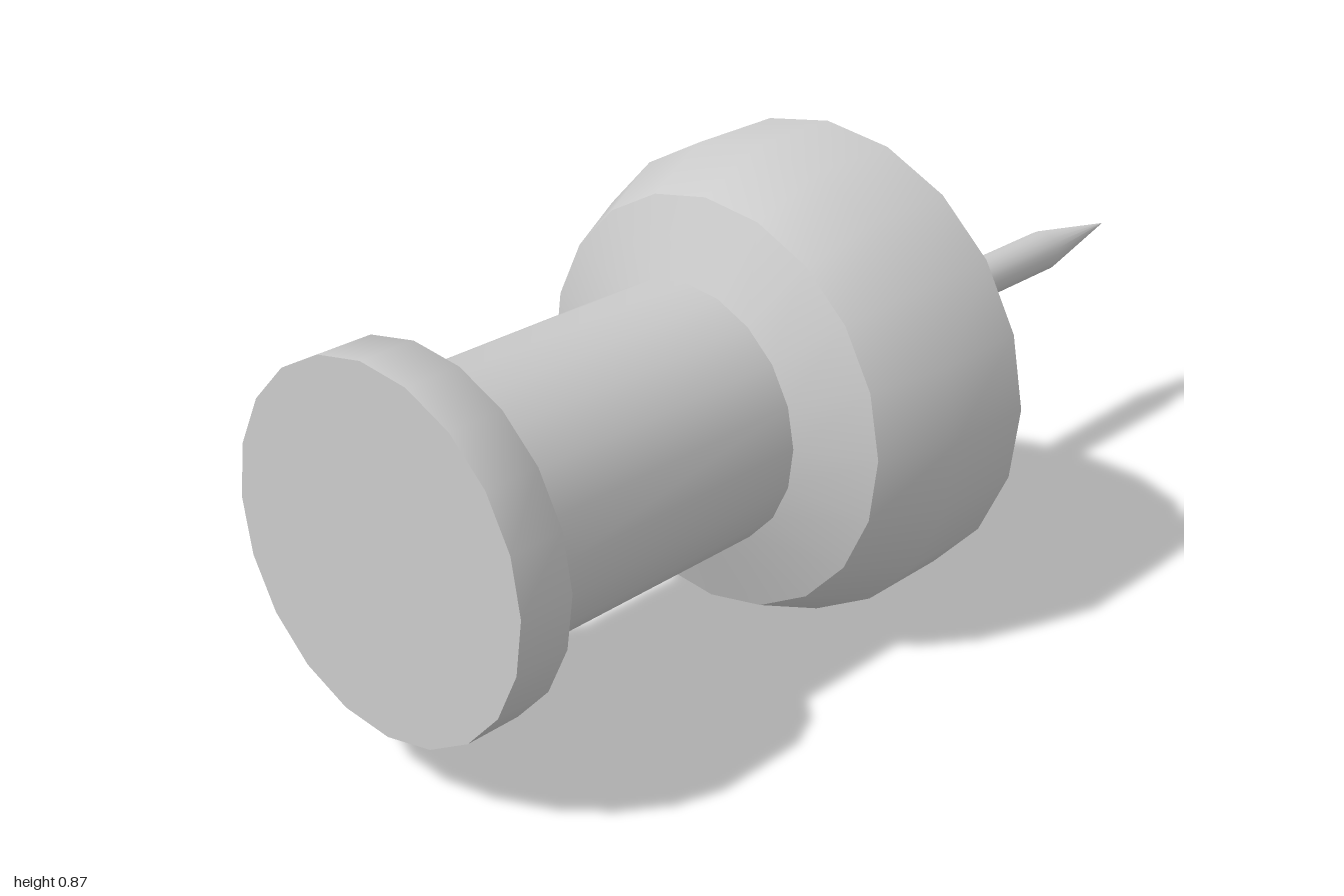
import * as THREE from 'three';

const SIDES = 20;
const AXIS_Y = 0.436;

export function createModel() {
  const group = new THREE.Group();
  const material = new THREE.MeshStandardMaterial({ color: 0xcccccc });

  // Revolves [x, radius] points about the horizontal axis; each call is one smooth surface
  function revolve(name, profile) {
    const points = profile.map(([x, r]) => new THREE.Vector2(r, x));
    const geometry = new THREE.LatheGeometry(points, SIDES);
    geometry.rotateZ(-Math.PI / 2);
    geometry.translate(0, AXIS_Y, 0);
    const mesh = new THREE.Mesh(geometry, material);
    mesh.name = name;
    group.add(mesh);
  }

  // Handle: flat end, flared rim running smoothly into the grip
  revolve('handleEnd', [[-1, 0], [-1, 0.32]]);
  revolve('grip', [[-1, 0.32], [-0.895, 0.32], [-0.835, 0.24], [-0.295, 0.24]]);

  // Collar: steep shoulder, rounded band and flat face
  revolve('shoulder', [[-0.295, 0.24], [-0.24, 0.377]]);
  revolve('collar', [[-0.24, 0.377], [-0.105, 0.436], [0.085, 0.436]]);
  revolve('collarFace', [[0.085, 0.436], [0.085, 0]]);

  // Needle: straight shaft and pointed tip
  revolve('needle', [[0.08, 0.04], [0.78, 0.04], [1, 0]]);

  return group;
}
